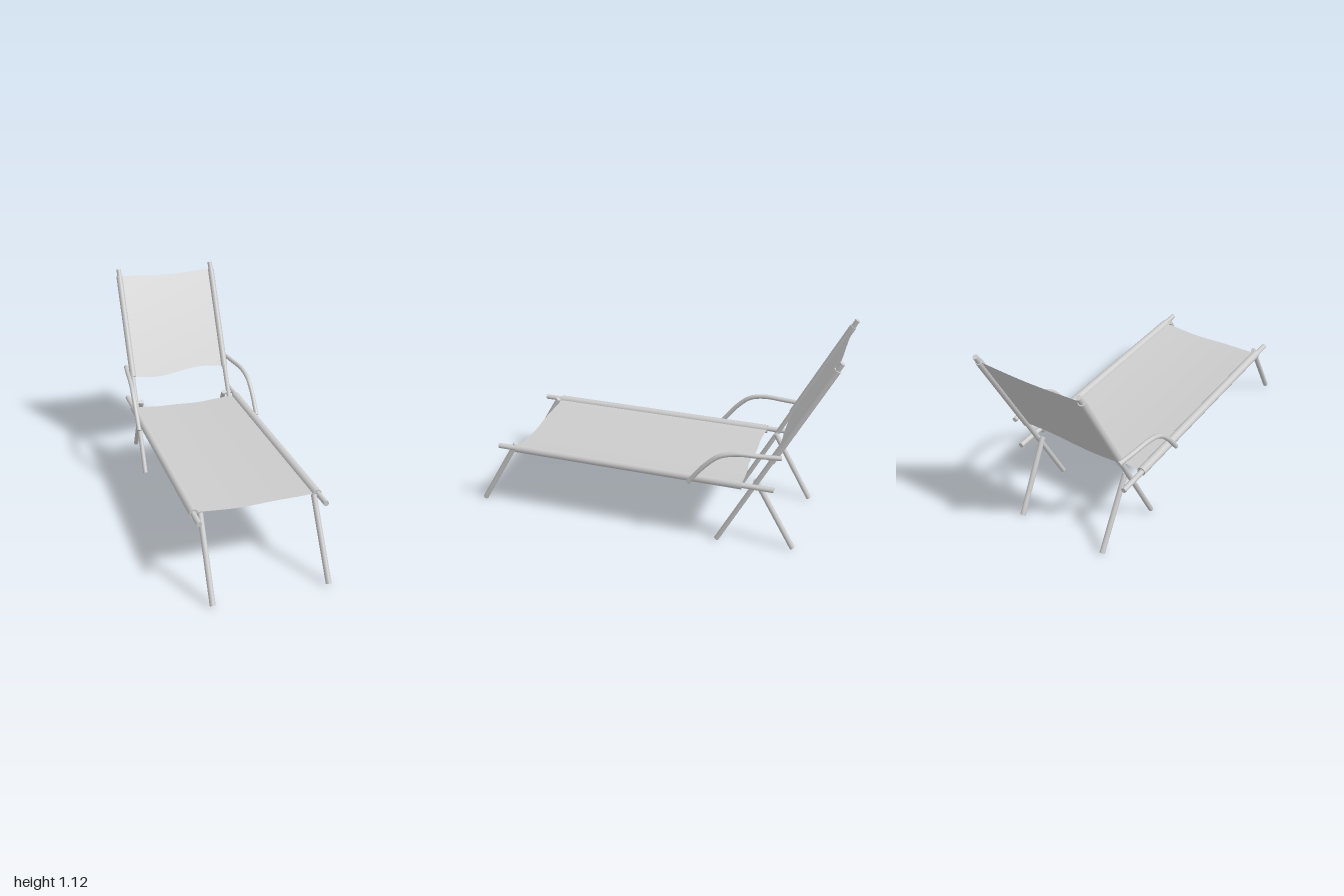
import * as THREE from 'three';

const material = new THREE.MeshStandardMaterial({ color: 0xcccccc });
const clothMaterial = new THREE.MeshStandardMaterial({ color: 0xcccccc, side: THREE.DoubleSide });
const V = (x, y, z) => new THREE.Vector3(x, y, z);

// Straight round bar between two points
function bar(name, a, b, radius, mat = material) {
  const dir = b.clone().sub(a);
  const mesh = new THREE.Mesh(new THREE.CylinderGeometry(radius, radius, dir.length(), 20), mat);
  mesh.position.copy(a).add(b).multiplyScalar(0.5);
  mesh.quaternion.setFromUnitVectors(V(0, 1, 0), dir.normalize());
  mesh.name = name;
  return mesh;
}

// Fabric sheet from a to b (in the x = 0 plane), with wavy ends and a slight sag
function sling(name, a, b, halfWidth, startWave, endWave, sag) {
  const dir = b.clone().sub(a);
  const length = dir.length();
  dir.normalize();
  const normal = V(1, 0, 0).cross(dir);
  const geo = new THREE.PlaneGeometry(2, 1, 32, 16);
  const pos = geo.attributes.position;
  for (let i = 0; i < pos.count; i++) {
    const u = pos.getX(i), v = pos.getY(i) + 0.5;
    const t = THREE.MathUtils.lerp(startWave(u), length + endWave(u), v);
    const p = a.clone().addScaledVector(dir, t).addScaledVector(normal, -sag * (1 - u * u));
    pos.setXYZ(i, u * halfWidth, p.y, p.z);
  }
  geo.computeVertexNormals();
  const mesh = new THREE.Mesh(geo, clothMaterial);
  mesh.name = name;
  return mesh;
}

export function createModel() {
  const model = new THREE.Group();
  model.name = 'sunLounger';

  // The back post runs in one line from the floor to the top of the backrest
  const postFoot = V(0, 0.007, -0.4), postTop = V(0, 1.117, -0.98);
  const onPost = (y) => postFoot.clone().lerp(postTop, (y - postFoot.y) / (postTop.y - postFoot.y));
  const at = (x, p) => V(x, p.y, p.z);
  const backLow = onPost(0.53), backHigh = onPost(1.08);

  for (const s of [-1, 1]) {
    const side = new THREE.Group();
    side.name = s > 0 ? 'leftFrame' : 'rightFrame';

    // Seat rail, legs and back post
    side.add(bar('seatRail', V(s * 0.325, 0.384, 0.85), V(s * 0.325, 0.384, -0.7), 0.014));
    side.add(bar('frontLeg', V(s * 0.295, 0.393, 0.762), V(s * 0.3, 0.007, 0.983), 0.0145));
    side.add(bar('rearLeg', V(s * 0.264, 0.392, -0.592), V(s * 0.26, 0.007, -0.808), 0.0145));
    side.add(bar('backPost', at(s * 0.297, postFoot), at(s * 0.292, postTop), 0.0135));
    side.add(bar('pivotPin', V(s * 0.255, 0.384, -0.597), V(s * 0.33, 0.384, -0.597), 0.008));

    // Fabric sleeves around the rail and the post
    side.add(bar('seatSleeve', V(s * 0.321, 0.383, 0.748), V(s * 0.321, 0.383, -0.533), 0.0235));
    side.add(bar('backSleeve', at(s * 0.293, backLow), at(s * 0.293, backHigh), 0.0185));

    // Bent armrest, bowing outwards towards its front end
    const path = new THREE.CatmullRomCurve3([
      V(s * 0.322, 0.575, -0.73), V(s * 0.335, 0.575, -0.62), V(s * 0.347, 0.574, -0.5),
      V(s * 0.354, 0.55, -0.415), V(s * 0.358, 0.49, -0.345), V(s * 0.358, 0.37, -0.25),
    ]);
    const arm = new THREE.Mesh(new THREE.TubeGeometry(path, 48, 0.0125, 14), material);
    arm.name = 'armrest';
    side.add(arm);
    for (const [t, u] of [[0, 0.004], [1, 0.996]]) {
      const cap = bar('armrestCap', path.getPointAt(t), path.getPointAt(u), 0.0124);
      side.add(cap);
    }
    model.add(side);
  }

  // Seat and backrest fabric
  model.add(sling('seatSling', V(0, 0.389, 0.745), V(0, 0.389, -0.533), 0.322,
    (u) => 0.006 * Math.sin(u * 4) * (1 - u * u),
    (u) => -0.012 * (1 - u * u) - 0.005 * Math.sin(u * 7) * (1 - u * u), 0.012));
  model.add(sling('backSling', backLow, backHigh, 0.293,
    (u) => 0.017 * Math.sin(u * Math.PI),
    (u) => -0.009 * (1 + Math.cos(u * Math.PI)) * 0.6, 0.004));

  return model;
}
